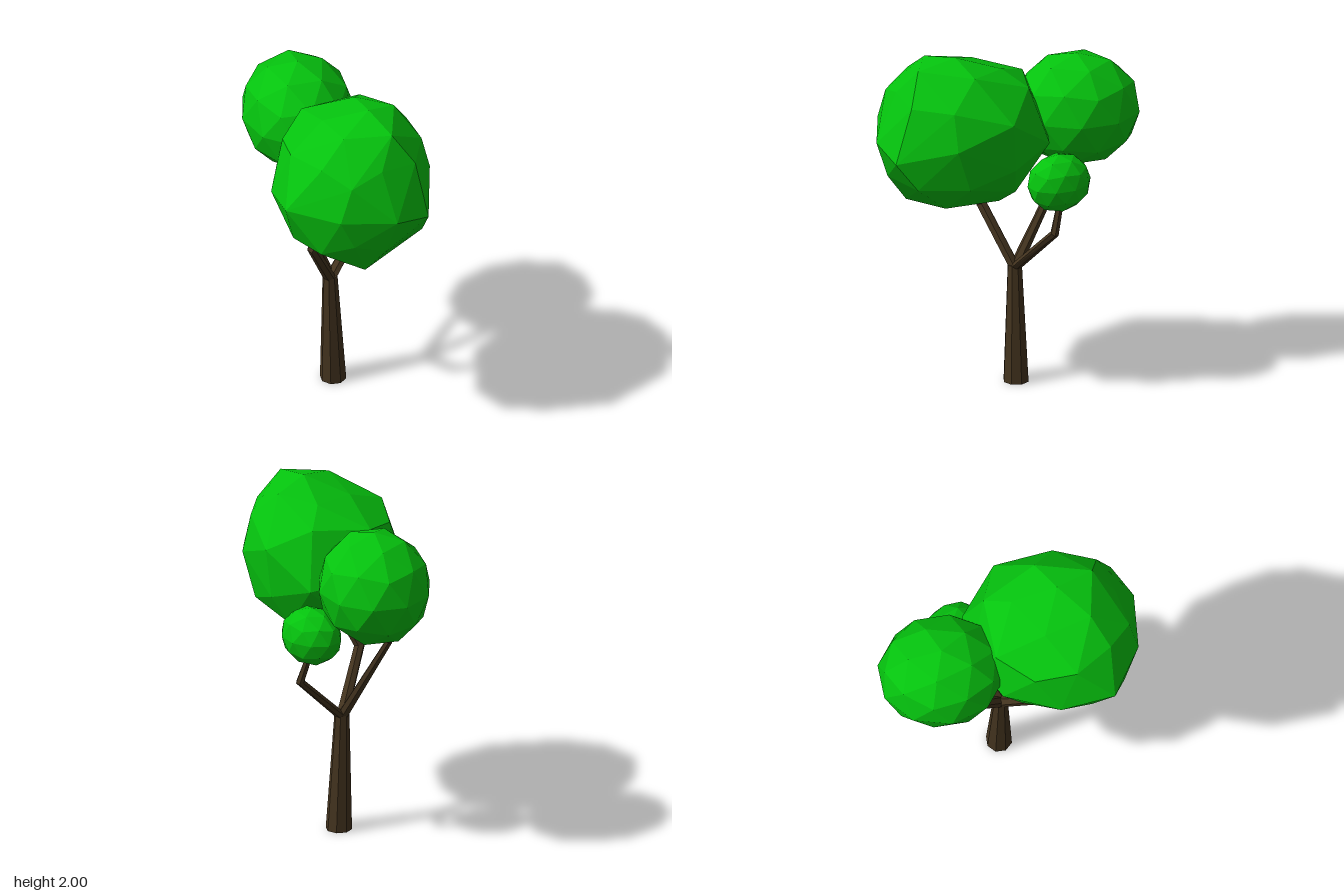
import * as THREE from 'three';
import { ConvexGeometry } from 'three/addons/geometries/ConvexGeometry.js';

const bark = new THREE.MeshStandardMaterial({ color: 0x44341f, flatShading: true });
const leaf = new THREE.MeshStandardMaterial({ color: 0x05c30e, flatShading: true });
const UP = new THREE.Vector3(0, 1, 0);

// Tapered limb: a cylinder whose rings are moved onto a path of [x, y, z, radius] stops
function limb(name, stops, sides) {
  const n = stops.length - 1;
  const pts = stops.map(([x, y, z]) => new THREE.Vector3(x, y, z));
  const turns = pts.map((p, i) => {
    const dir = new THREE.Vector3();
    if (i > 0) dir.add(p.clone().sub(pts[i - 1]).normalize());
    if (i < n) dir.add(pts[i + 1].clone().sub(p).normalize());
    return new THREE.Quaternion().setFromUnitVectors(UP, dir.normalize());
  });
  turns[0].identity(); // the foot of each limb stays level
  const geometry = new THREE.CylinderGeometry(1, 1, n, sides, n);
  const pos = geometry.attributes.position;
  const v = new THREE.Vector3();
  for (let i = 0; i < pos.count; i++) {
    v.fromBufferAttribute(pos, i);
    const ring = Math.round(v.y + n / 2);
    v.y = 0;
    v.multiplyScalar(stops[ring][3]).applyQuaternion(turns[ring]).add(pts[ring]);
    pos.setXYZ(i, v.x, v.y, v.z);
  }
  geometry.computeVertexNormals();
  const mesh = new THREE.Mesh(geometry, bark);
  mesh.name = name;
  return mesh;
}

// Oval clump: a faceted sphere with a vertex pointing up, its long axis turned by heading
function clump(name, center, radii, yaw, heading) {
  const geometry = new THREE.IcosahedronGeometry(1, 1);
  geometry.rotateZ(-Math.atan(2 / (1 + Math.sqrt(5))));
  geometry.rotateY(yaw);
  geometry.scale(...radii);
  geometry.rotateY(heading);
  geometry.translate(...center);
  const mesh = new THREE.Mesh(geometry, leaf);
  mesh.name = name;
  return mesh;
}

// Large lopsided clump: the hull of its corners, from the crown down
function largeClump() {
  const corners = [
    [0.22, 2, 0.2], [0.38, 1.955, 0.36], [0.335, 1.94, 0.04], [0.12, 1.94, 0.42], [-0.04, 1.9, 0.2],
    [0.1, 1.92, -0.03], [0.51, 1.78, 0.35], [0.5, 1.78, 0.1], [0.35, 1.8, 0.5], [0.02, 1.81, 0.56],
    [0.2, 1.74, 0.62], [-0.18, 1.8, 0.42], [-0.265, 1.75, 0.2], [-0.2, 1.8, -0.04], [0.1, 1.83, -0.19],
    [0.36, 1.7, -0.2],
    [0.595, 1.47, 0.41], [0.45, 1.52, 0.58], [0.15, 1.55, 0.685], [-0.17, 1.57, 0.635], [-0.3, 1.5, 0.36],
    [-0.315, 1.53, 0.03], [-0.13, 1.55, -0.2], [0.09, 1.51, -0.31], [0.33, 1.42, -0.2], [0.54, 1.57, 0.06],
    [0.54, 1.31, 0.3], [0.38, 1.3, 0.54], [0.22, 1.37, 0.64], [0.03, 1.3, 0.635], [-0.15, 1.3, 0.5],
    [-0.25, 1.32, 0.12], [-0.08, 1.29, -0.15], [0.23, 1.25, -0.16], [0.46, 1.32, 0.02],
    [0.37, 1.15, 0.2], [0.25, 1.12, 0.48], [-0.02, 1.13, 0.27], [0.14, 1.14, -0.03], [0.135, 1.08, 0.2],
  ];
  const geometry = new ConvexGeometry(corners.map((c) => new THREE.Vector3(...c)));
  const mesh = new THREE.Mesh(geometry, leaf);
  mesh.name = 'largeFoliage';
  return mesh;
}

export function createModel() {
  const tree = new THREE.Group();
  tree.name = 'tree';

  // Trunk and its three bent branches, the right one with a side twig
  tree.add(limb('trunk', [[-0.027, 0, -0.068, 0.074], [-0.042, 0.69, -0.055, 0.042]], 8));
  const fork = [-0.042, 0.67, -0.055, 0.036];
  const elbow = [-0.34, 1.22, -0.24, 0.022];
  tree.add(
    limb('rightBranch', [fork, elbow, [-0.3, 1.4, -0.23, 0.014]], 6),
    limb('rightTwig', [elbow, [-0.34, 1.38, -0.41, 0.012]], 6),
    limb('frontBranch', [fork, [-0.1, 1.01, 0.17, 0.032], [0.02, 1.22, 0.16, 0.022]], 6),
    limb('backBranch', [fork, [0.138, 0.99, -0.358, 0.025], [0.07, 1.2, -0.375, 0.018]], 6),
  );

  // Foliage
  tree.add(
    largeClump(),
    clump('mediumFoliage', [-0.275, 1.585, -0.333], [0.318, 0.327, 0.359], 0.35, 0.41),
    clump('smallFoliage', [0.074, 1.275, -0.36], [0.153, 0.167, 0.19], 0.35, 0.96),
  );
  return tree;
}
